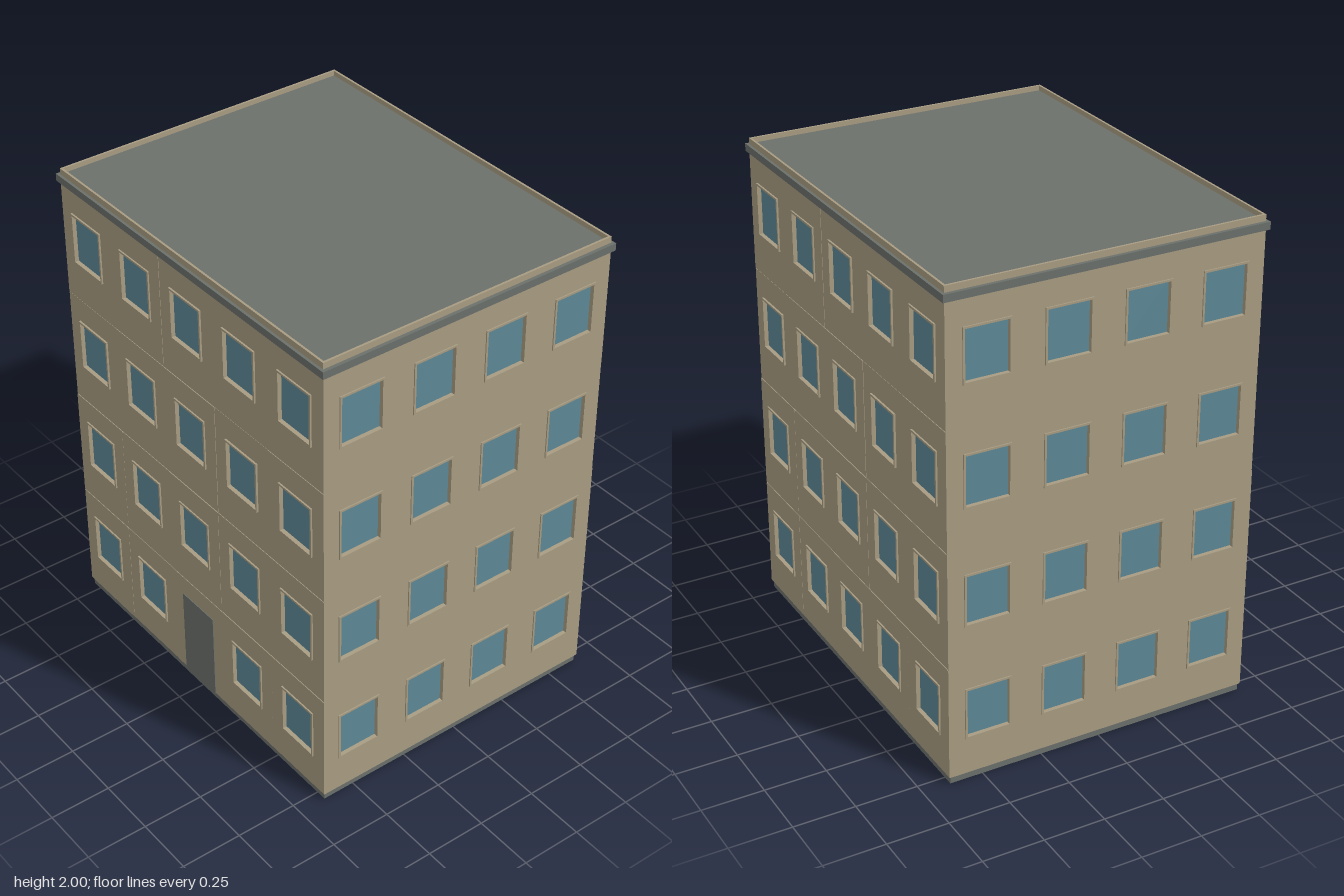
import * as THREE from 'three';

const paint = (color) => new THREE.MeshStandardMaterial({ color });
const wallPaint = paint(0xa89c82);
const stonePaint = paint(0x6b706b);
const glassPaint = paint(0x5c8896);

const BAY = 0.32, STOREY = 0.48, WIN_W = 0.19, WIN_H = 0.216;
const HALF_X = 0.8, HALF_Z = 0.643, BOTTOM = 0.03, TOP = 1.95;
const winY = (row) => 0.29 + row * STOREY;

// Small repeatable variation for the facade panels
const vary = (i) => Math.abs(Math.sin(i * 12.9898 + 1) * 43758.5453) % 1;

function add(parent, name, geometry, material, x = 0, y = 0, z = 0) {
  const mesh = new THREE.Mesh(geometry, material);
  mesh.name = name;
  mesh.position.set(x, y, z);
  parent.add(mesh);
  return mesh;
}

function rect(PathType, x0, y0, x1, y1) {
  const p = new PathType();
  p.moveTo(x0, y0);
  p.lineTo(x1, y0);
  p.lineTo(x1, y1);
  p.lineTo(x0, y1);
  p.closePath();
  return p;
}

const windowRect = (PathType, x, y, inset = 0) => rect(PathType,
  x - WIN_W / 2 + inset, y - WIN_H / 2 + inset, x + WIN_W / 2 - inset, y + WIN_H / 2 - inset);

const extrude = (shape, depth) =>
  new THREE.ExtrudeGeometry(shape, { depth, bevelEnabled: false });

// Framed window with a recessed pane; z = 0 is the wall face
function makeWindow(x, y) {
  const win = new THREE.Group();
  win.name = 'window';
  const ring = windowRect(THREE.Shape, 0, 0);
  ring.holes.push(windowRect(THREE.Path, 0, 0, 0.008));
  add(win, 'windowFrame', extrude(ring, 0.03), wallPaint, 0, 0, -0.025);
  add(win, 'pane', new THREE.BoxGeometry(WIN_W - 0.012, WIN_H - 0.012, 0.008), glassPaint, 0, 0, -0.016);
  win.position.set(x, y, 0);
  return win;
}

// One facade, facing +z with its outer face at z = 0
function makeFacade(name, halfWidth, bays, panelled, hasDoor) {
  const facade = new THREE.Group();
  facade.name = name;
  const wall = rect(THREE.Shape, -halfWidth, BOTTOM, halfWidth, TOP);
  for (let row = 0; row < 4; row++) {
    for (let col = 0; col < bays; col++) {
      const x = (col - (bays - 1) / 2) * BAY;
      const y = winY(row);
      const isDoor = hasDoor && row === 0 && col === 2;
      if (!isDoor) {
        wall.holes.push(windowRect(THREE.Path, x, y));
        facade.add(makeWindow(x, y));
      }
      // Thin cladding panels of slightly different depth
      if (panelled) {
        const y0 = row === 0 ? BOTTOM : 0.02 + row * STOREY;
        const panel = rect(THREE.Shape, x - BAY / 2, y0 + 0.002,
          x + BAY / 2, 0.02 + (row + 1) * STOREY - 0.002);
        if (!isDoor) panel.holes.push(windowRect(THREE.Path, x, y));
        const depth = 0.001 + 0.003 * vary(row * bays + col);
        add(facade, 'claddingPanel', extrude(panel, depth), wallPaint, 0, 0, -0.004);
      }
    }
  }
  const inset = panelled ? 0.004 : 0;
  add(facade, 'wall', extrude(wall, 0.03 - inset), wallPaint, 0, 0, -0.03);
  if (hasDoor) add(facade, 'door', new THREE.BoxGeometry(0.2, 0.385, 0.02), stonePaint, 0, 0.2225, -0.008);
  return facade;
}

// Rectangular band running round the building
function makeBand(halfX, halfZ, thickness, height) {
  const s = rect(THREE.Shape, -halfX, -halfZ, halfX, halfZ);
  s.holes.push(rect(THREE.Path, -halfX + thickness, -halfZ + thickness,
    halfX - thickness, halfZ - thickness));
  return extrude(s, height).rotateX(-Math.PI / 2);
}

export function createModel() {
  const model = new THREE.Group();
  model.name = 'apartmentBuilding';

  // Plinth
  add(model, 'plinth', new THREE.BoxGeometry(1.586, 0.035, 1.27), stonePaint, 0, 0.0175, 0);

  // Four facades
  for (const side of [0, 1]) {
    const front = makeFacade(side ? 'backFacade' : 'frontFacade', HALF_X, 5, true, side === 0);
    front.rotation.y = side * Math.PI;
    front.position.z = side ? -HALF_Z : HALF_Z;
    const flank = makeFacade(side ? 'rightFacade' : 'leftFacade', HALF_Z - 0.004, 4, false, false);
    flank.rotation.y = side ? -Math.PI / 2 : Math.PI / 2;
    flank.position.x = side ? -HALF_X : HALF_X;
    model.add(front, flank);
  }

  // Cornice, flat roof and low parapet
  add(model, 'cornice', makeBand(0.812, 0.652, 0.03, 0.03), stonePaint, 0, 1.945, 0);
  add(model, 'roof', new THREE.BoxGeometry(1.58, 0.03, 1.266), stonePaint, 0, 1.965, 0);
  add(model, 'parapet', makeBand(0.798, 0.641, 0.009, 0.03), wallPaint, 0, 1.97, 0);
  return model;
}
